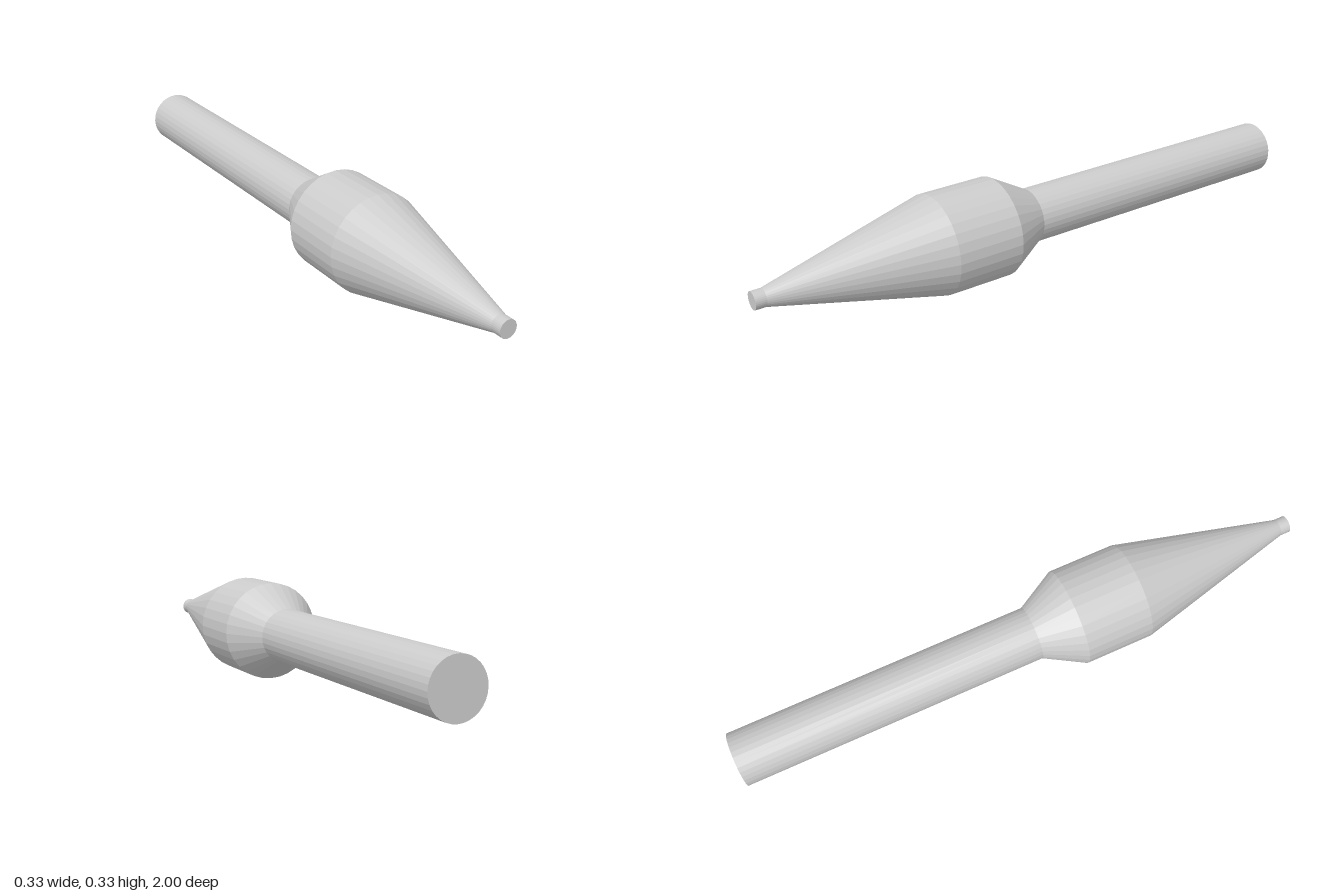
import * as THREE from 'three';

const SIDES = 32;
const AXIS_Y = 0.166;

export function createModel() {
  const model = new THREE.Group();
  const material = new THREE.MeshStandardMaterial({ color: 0xcccccc, flatShading: true });

  // Solid turned about the z axis; profile points are [radius, z], back to front
  function turned(name, profile) {
    const points = profile.map(([r, z]) => new THREE.Vector2(r, z));
    const geometry = new THREE.LatheGeometry(points, SIDES);
    geometry.rotateX(Math.PI / 2);
    const mesh = new THREE.Mesh(geometry, material);
    mesh.name = name;
    mesh.position.y = AXIS_Y;
    model.add(mesh);
  }

  // Straight round shank with a flat back end
  turned('shank', [[0, -1], [0.091, -1], [0.091, 0.035]]);

  // Flared shoulder between shank and body
  turned('shoulder', [[0.091, 0.035], [0.166, 0.17]]);

  // Widest, cylindrical section
  turned('body', [[0.166, 0.17], [0.166, 0.4]]);

  // Long taper to the front
  turned('taper', [[0.166, 0.4], [0.029, 0.965]]);

  // Short blunt tip with a flat front end
  turned('tip', [[0.029, 0.965], [0.029, 1], [0, 1]]);

  return model;
}
